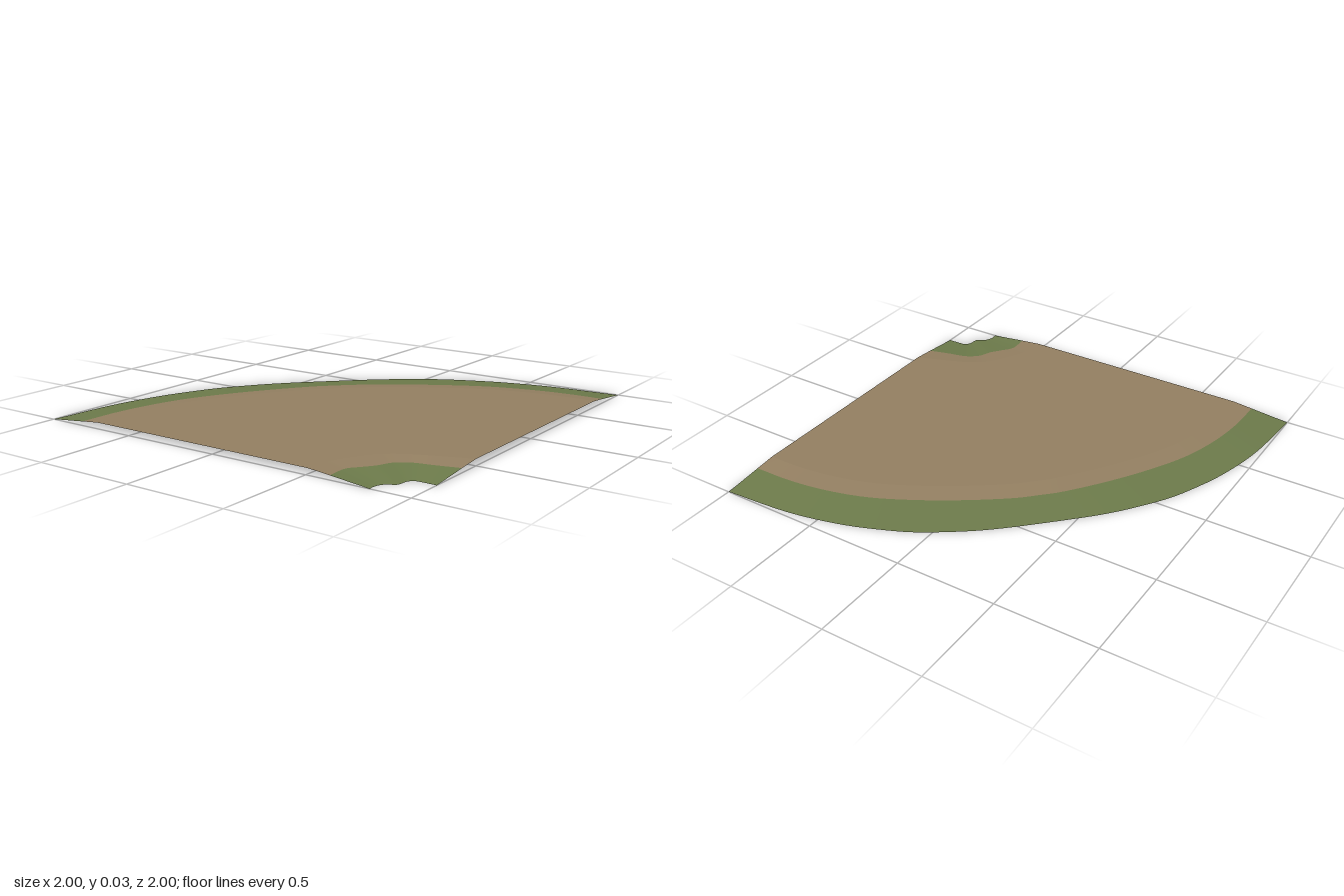
import * as THREE from 'three';

const STEPS = 64;

// Curves are listed as distances [left, back] from the inner corner of the tile.
const ring = (points, y) =>
  new THREE.CatmullRomCurve3(points.map(([a, b]) => new THREE.Vector3(1 - a, y, 1 - b)))
    .getSpacedPoints(STEPS);

// Completes half a bend by mirroring it across the diagonal.
const mirrored = (half) => [...half, ...half.slice(0, -1).reverse().map(([a, b]) => [b, a])];

// Joins two edge curves with a strip facing up.
function band(name, outer, inner, material) {
  const positions = [];
  const index = [];
  for (let i = 0; i <= STEPS; i++) {
    positions.push(...outer[i].toArray(), ...inner[i].toArray());
    if (i < STEPS) {
      const k = i * 2;
      index.push(k, k + 1, k + 2, k + 1, k + 3, k + 2);
    }
  }
  const geometry = new THREE.BufferGeometry();
  geometry.setAttribute('position', new THREE.Float32BufferAttribute(positions, 3));
  geometry.setIndex(index);
  geometry.computeVertexNormals();
  const mesh = new THREE.Mesh(geometry, material);
  mesh.name = name;
  return mesh;
}

export function createModel() {
  const grass = new THREE.MeshStandardMaterial({ color: 0x6c7a4a, side: THREE.DoubleSide });
  grass.name = 'grass green';
  const dirt = new THREE.MeshStandardMaterial({ color: 0x937f61, side: THREE.DoubleSide });
  dirt.name = 'dirt brown';

  // Outer side of the bend
  const verge = mirrored([[1.8, 0], [1.795, 0.2], [1.765, 0.4], [1.705, 0.6], [1.605, 0.8],
    [1.48, 1], [1.33, 1.2], [1.265, 1.265]]);
  const outerEdge = ring(mirrored([[2, 0], [1.97, 0.37], [1.91, 0.63], [1.85, 0.79],
    [1.79, 0.92], [1.72, 1.03], [1.6, 1.19], [1.4, 1.4]]), 0);
  const outerVerge = ring(verge, 0.02);
  const outerCrest = ring(verge.map(([a, b]) => [a * 0.943, b * 0.943]), 0.03);

  // Inner side of the bend, with a ragged grass edge
  const innerCrest = ring([[0.49, 0], [0.48, 0.11], [0.43, 0.22], [0.36, 0.33], [0.28, 0.39],
    [0.19, 0.43], [0.11, 0.46], [0, 0.5]], 0.03);
  const innerVerge = ring([[0.38, 0], [0.38, 0.11], [0.34, 0.165], [0.3, 0.22], [0.27, 0.285],
    [0.21, 0.33], [0.11, 0.355], [0, 0.385]], 0.02);
  const innerEdge = ring([[0.19, 0], [0.19, 0.04], [0.17, 0.08], [0.13, 0.105], [0.12, 0.16],
    [0.1, 0.183], [0.06, 0.187], [0, 0.187]], 0);

  const group = new THREE.Group();
  group.name = 'curvedDirtRoad';
  group.add(
    band('outerGrass', outerEdge, outerVerge, grass),
    band('outerDirtSlope', outerVerge, outerCrest, dirt),
    band('roadSurface', outerCrest, innerCrest, dirt),
    band('innerDirtSlope', innerCrest, innerVerge, dirt),
    band('innerGrass', innerVerge, innerEdge, grass),
  );
  return group;
}
